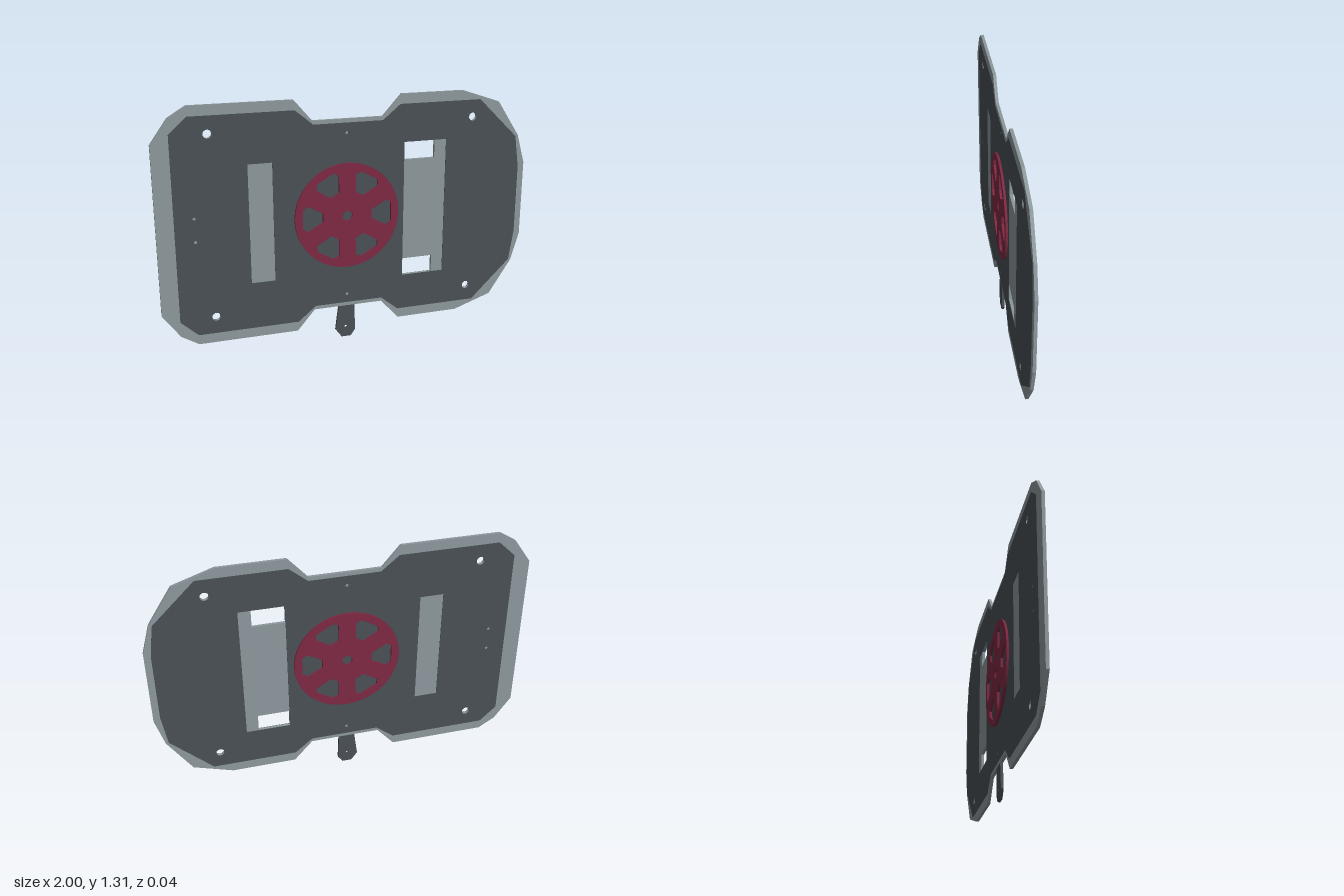
import * as THREE from 'three';

const CY = 0.692; // height of the plate's centre line
const WX = -0.02; // wheel centre

const mat = (name, color) => {
  const m = new THREE.MeshStandardMaterial({ color });
  m.name = name;
  return m;
};

// Mirrors an upper outline (left to right) below the centre line
function mirrored(upper) {
  const top = upper.map(([x, y]) => [x, CY + y]);
  const bottom = upper.map(([x, y]) => [x, CY - y]).reverse();
  return [...top, ...bottom];
}

const polygon = (pts) => pts.map(([x, y]) => new THREE.Vector2(x, y));
const rect = (x0, x1, y0, y1) => polygon([[x0, y0], [x1, y0], [x1, y1], [x0, y1]]);
const circle = (x, y, r, n = 24) =>
  Array.from({ length: n }, (_, i) => {
    const a = (i / n) * Math.PI * 2;
    return new THREE.Vector2(x + r * Math.cos(a), y + r * Math.sin(a));
  });

// Flat slab between z0 and z1, with holes
function slab(name, outline, holes, z0, z1, material) {
  const shape = new THREE.Shape(outline);
  shape.holes = holes.map((h) => new THREE.Path(h));
  const geo = new THREE.ExtrudeGeometry(shape, { depth: z1 - z0, bevelEnabled: false });
  geo.translate(0, 0, z0);
  const mesh = new THREE.Mesh(geo, material);
  mesh.name = name;
  return mesh;
}

export function createModel() {
  const group = new THREE.Group();
  group.name = 'plateWithWheel';
  const light = mat('light grey', 0x8c979b);
  const dark = mat('dark grey', 0x494f55);
  const red = mat('dark red', 0x7c2841);

  // Corner bolt holes pass through every layer
  const bolts = [];
  for (const x of [-0.725, 0.68])
    for (const s of [-1, 1]) bolts.push(circle(x, CY + s * 0.478, 0.022));

  // Core plate
  const core = mirrored([
    [-1, 0.44], [-0.91, 0.565], [-0.82, 0.62], [-0.295, 0.62], [-0.2, 0.51], [0.175, 0.51],
    [0.275, 0.62], [0.62, 0.62], [0.83, 0.55], [0.955, 0.36], [1, 0.205],
  ]);
  const windows = [rect(0.295, 0.465, 0.965, 1.06), rect(0.295, 0.465, 0.32, 0.415)];
  group.add(slab('corePlate', polygon(core), [...bolts, ...windows], -0.008, 0.008, light));

  // Thin cover sheets on both faces
  const cover = mirrored([
    [-0.91, 0.485], [-0.82, 0.568], [-0.29, 0.568], [-0.195, 0.49], [0.175, 0.49],
    [0.27, 0.568], [0.72, 0.568], [0.94, 0.355], [0.965, 0.185],
  ]);
  const slots = [rect(-0.535, -0.41, 0.375, 1.005), rect(0.295, 0.53, 0.32, 1.06)];
  const pins = [[-0.81, 0.75], [-0.81, 0.628], [WX, 1.13], [WX, 0.25]]
    .map(([x, y]) => circle(x, y, 0.008, 12));
  const coverHoles = [...bolts, ...slots, ...pins];
  group.add(slab('frontCover', polygon(cover), coverHoles, 0.008, 0.01, dark));
  group.add(slab('backCover', polygon(cover), coverHoles, -0.01, -0.008, dark));

  // Wheel with six cut-outs and a hub hole
  const cutout = [
    [0.132, -0.025], [0.213, -0.07], [0.24, -0.05], [0.24, 0.05], [0.213, 0.07], [0.132, 0.025],
  ];
  const wheelHoles = [circle(WX, CY, 0.027)];
  for (let i = 0; i < 6; i++) {
    const c = Math.cos((i * Math.PI) / 3);
    const s = Math.sin((i * Math.PI) / 3);
    wheelHoles.push(polygon(cutout.map(([x, y]) => [WX + x * c - y * s, CY + x * s + y * c])));
  }
  group.add(slab('wheel', circle(WX, CY, 0.282, 64), wheelHoles, -0.022, 0.022, red));

  // Hanging tab below the plate
  const tab = polygon([
    [-0.065, 0.182], [-0.083, 0.045], [-0.05, 0], [0.002, 0], [0.027, 0.035], [0.022, 0.182],
  ]);
  group.add(slab('hangingTab', tab, [circle(-0.025, 0.057, 0.009, 12)], -0.007, 0.007, dark));

  return group;
}
